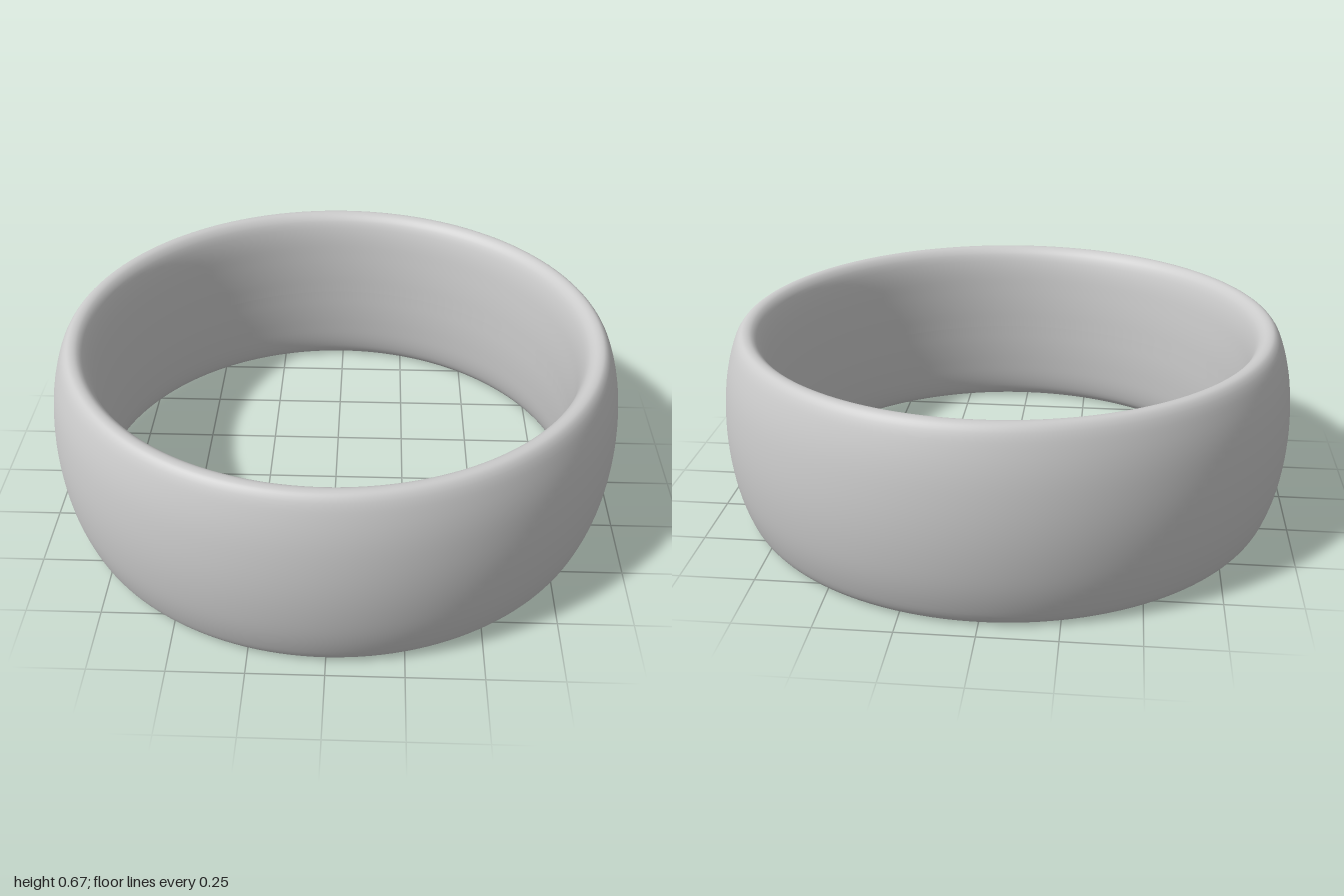
import * as THREE from 'three';

const HEIGHT = 0.667;

// Upper half of the band's cross-section as [radius, height above the middle],
// from the outermost point, over the rim, to the innermost point.
const HALF = [
  [1.0, 0], [0.996, 0.09], [0.984, 0.18], [0.965, 0.255], [0.943, 0.31],
  [0.925, 0.33], [0.908, 0.3335], [0.89, 0.328], [0.87, 0.306],
  [0.852, 0.25], [0.841, 0.16], [0.836, 0.08], [0.835, 0],
];

export function createModel() {
  const group = new THREE.Group();
  group.name = 'ring';

  // Mirror the half section: inner middle -> bottom rim -> outside -> top rim -> inner middle
  const lower = HALF.slice(1).reverse().map(([r, h]) => [r, -h]);
  const section = [...lower, ...HALF].map(
    ([r, h]) => new THREE.Vector3(r, HEIGHT / 2 + h, 0));
  const curve = new THREE.CatmullRomCurve3(section, false, 'centripetal');
  const profile = curve.getPoints(96).map((p) => new THREE.Vector2(p.x, p.y));

  // Domed band with a softly rounded inside
  const band = new THREE.Mesh(
    new THREE.LatheGeometry(profile, 160),
    new THREE.MeshStandardMaterial({ color: 0xcccccc }));
  band.name = 'band';
  group.add(band);
  return group;
}
